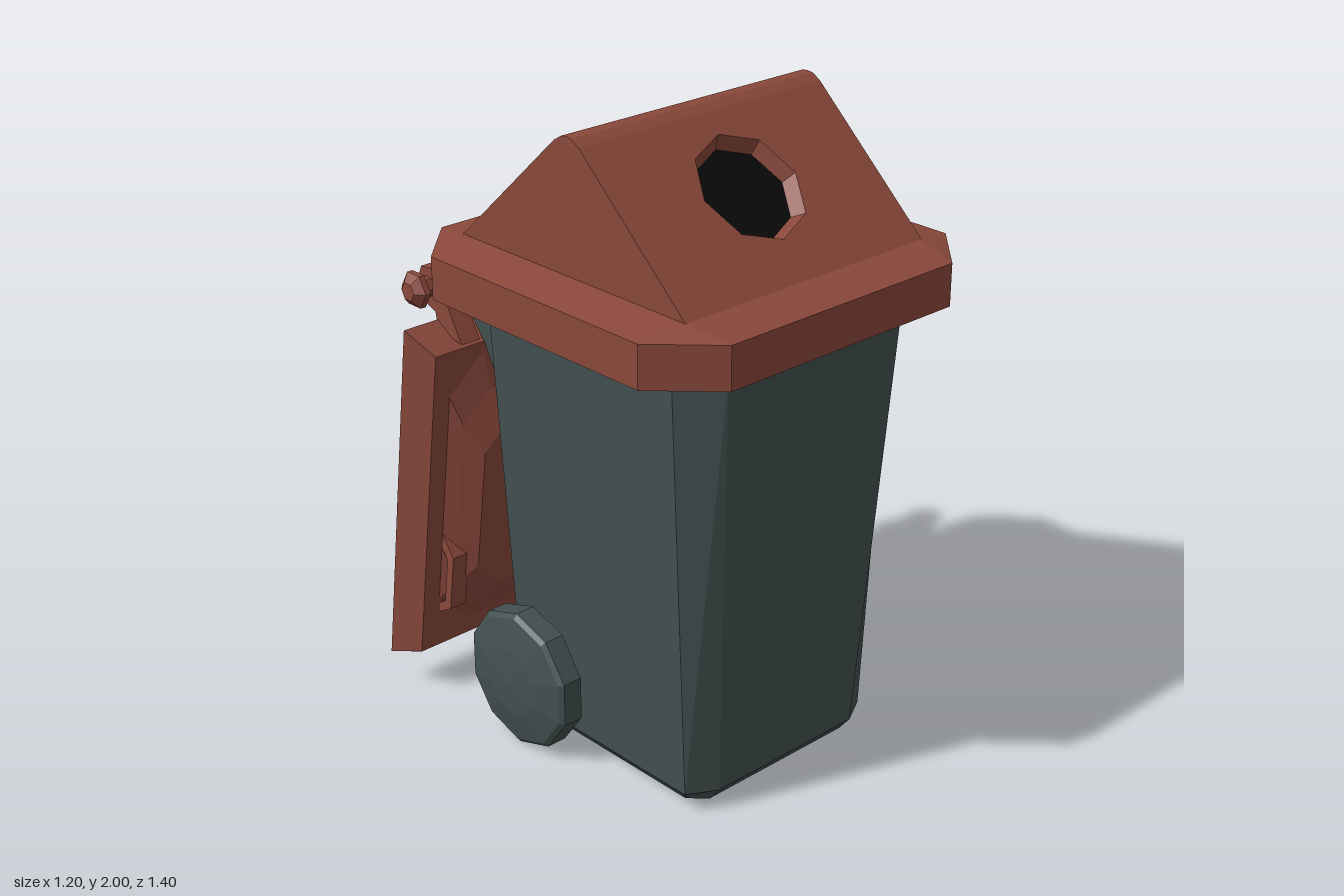
import * as THREE from 'three';

const red = new THREE.MeshStandardMaterial({ color: 0x8a483b, side: THREE.DoubleSide });
red.name = 'brick red';
const green = new THREE.MeshStandardMaterial({ color: 0x435050 });
green.name = 'dark grey green';
const black = new THREE.MeshStandardMaterial({ color: 0x0a0a0a });
black.name = 'black';

// Faceted mesh
function mesh(name, geometry, material) {
  const g = geometry.index ? geometry.toNonIndexed() : geometry;
  g.computeVertexNormals();
  const m = new THREE.Mesh(g, material);
  m.name = name;
  return m;
}

// Rectangle with cut corners at height y: half width, back z, front z, corner cuts
function oct(y, hx, z0, z1, cx, cz) {
  const ix = hx - cx, a = z1 - cz, b = z0 + cz;
  return [[hx, a], [hx, b], [ix, z0], [-ix, z0], [-hx, b], [-hx, a], [-ix, z1], [ix, z1]]
    .map(([x, z]) => [x, y, z]);
}

// Skin through a stack of rings, closed at both ends
function loft(rings) {
  const n = rings[0].length, index = [];
  const last = (rings.length - 1) * n;
  for (let i = 0; i < rings.length - 1; i++) {
    for (let j = 0; j < n; j++) {
      const a = i * n + j, b = i * n + (j + 1) % n;
      index.push(a, b, b + n, a, b + n, a + n);
    }
  }
  for (let j = 1; j < n - 1; j++) {
    index.push(0, j + 1, j, last, last + j, last + j + 1);
  }
  const g = new THREE.BufferGeometry();
  g.setAttribute('position', new THREE.Float32BufferAttribute(rings.flat(2), 3));
  g.setIndex(index);
  return g;
}

// Plate with a (z, y) outline, spanning x0 to x1
function sidePlate(points, x0, x1) {
  const shape = new THREE.Shape(points.map(([z, y]) => new THREE.Vector2(-z, y)));
  const g = new THREE.ExtrudeGeometry(shape, { depth: x1 - x0, bevelEnabled: false });
  return g.rotateY(Math.PI / 2).translate(x0, 0, 0);
}

// Solid turned around the x axis from [radius, x] pairs
function turned(points, sides) {
  const g = new THREE.LatheGeometry(points.map(([r, x]) => new THREE.Vector2(r, x)), sides);
  return g.rotateZ(-Math.PI / 2);
}

// One roof slope with its faceted opening
function roofSlope(name) {
  const slope = new THREE.Group();
  slope.name = name;
  const length = 0.556, centre = 0.308;
  const shape = new THREE.Shape([[-0.46, 0], [0.46, 0], [0.46, length], [-0.46, length]]
    .map(([x, y]) => new THREE.Vector2(x, y)));
  const hole = [];
  for (let i = 0; i < 8; i++) {
    const a = -i * Math.PI / 4;
    hole.push(new THREE.Vector2(0.175 * Math.cos(a), centre + 0.175 * Math.sin(a)));
  }
  shape.holes.push(new THREE.Path(hole));
  slope.add(mesh('roofPanel', new THREE.ShapeGeometry(shape), red));
  const rim = new THREE.CylinderGeometry(0.175, 0.15, 0.042, 8, 1, true).rotateX(Math.PI / 2);
  slope.add(mesh('openingRim', rim.translate(0, centre, -0.021), red));
  const disc = new THREE.CircleGeometry(0.152, 8).translate(0, centre, -0.041);
  slope.add(mesh('openingDark', disc, black));
  slope.position.set(0, 1.605, 0.46);
  slope.rotation.x = -Math.atan2(0.41, 0.375);
  const turn = new THREE.Group();
  turn.name = name + 'Mount';
  turn.add(slope);
  turn.position.z = 0.1;
  return turn;
}

export function createModel() {
  const model = new THREE.Group();
  model.name = 'wheeledBin';

  // Tapered body with cut corners
  model.add(mesh('body', loft([
    oct(0.02, 0.33, -0.27, 0.48, 0.05, 0.05),
    oct(0.07, 0.37, -0.31, 0.52, 0.09, 0.05),
    oct(1.43, 0.44, -0.40, 0.60, 0.10, 0.115),
  ]), green));

  // Lid rim
  model.add(mesh('lidRim', loft([
    oct(1.422, 0.45, -0.41, 0.61, 0.10, 0.1),
    oct(1.45, 0.60, -0.50, 0.70, 0.17, 0.17),
    oct(1.58, 0.60, -0.50, 0.70, 0.17, 0.17),
    oct(1.605, 0.46, -0.36, 0.56, 0.001, 0.001),
  ]), red));

  // Roof slopes, gables and ridge
  const front = roofSlope('frontSlope');
  const back = roofSlope('backSlope');
  back.rotation.y = Math.PI;
  model.add(front, back);
  const ridge = [[0.15, 1.98], [0.12, 1.998], [0.1, 2], [0.08, 1.998], [0.05, 1.98]];
  model.add(mesh('ridge', sidePlate(ridge, -0.46, 0.46), red));
  const gable = [[0.56, 1.605], ...ridge, [-0.36, 1.605]];
  for (const s of [-1, 1]) {
    const x = s * 0.458;
    model.add(mesh('gable', sidePlate(gable, x - 0.002, x + 0.002), red));
  }

  // Old lid hanging behind: dished outside, bulging inside
  const flap = new THREE.Group();
  flap.name = 'hangingLid';
  flap.position.set(0, 0.70, -0.62);
  flap.rotation.x = 0.137;
  flap.add(mesh('lidTray', loft([
    oct(0.09, 0.36, -0.38, 0.38, 0.09, 0.09),
    oct(0, 0.45, -0.49, 0.49, 0.12, 0.12),
    oct(0, 0.555, -0.585, 0.585, 0.001, 0.001),
    oct(0.11, 0.52, -0.535, 0.535, 0.001, 0.001),
    oct(0.11, 0.46, -0.50, 0.47, 0.12, 0.12),
    oct(0.145, 0.43, -0.39, 0.40, 0.1, 0.1),
    oct(0.195, 0.38, -0.29, 0.30, 0.09, 0.09),
  ]).rotateX(Math.PI / 2), red));
  // Grab handles on the inside of the hanging lid, outline in (z, y)
  const grip = [[0.10, -0.10], [0.168, -0.17], [0.168, -0.36], [0.09, -0.42],
    [0.09, -0.385], [0.14, -0.345], [0.14, -0.19], [0.10, -0.15]];
  for (const x of [-0.43, 0.43]) {
    flap.add(mesh('grabHandle', sidePlate(grip, x - 0.03, x + 0.03), red));
  }
  model.add(flap);

  // Hinge rod
  const hingeY = 1.375, hingeZ = -0.58;
  const rod = turned([[0, -0.45], [0.032, -0.45], [0.032, 0.45], [0, 0.45]], 6);
  model.add(mesh('hingeRod', rod.translate(0, hingeY, hingeZ), red));

  const bracket = [[-0.34, 1.42], [-0.54, 1.42], [-0.60, 1.425], [-0.645, 1.405], [-0.66, 1.37],
    [-0.64, 1.335], [-0.60, 1.32], [-0.52, 1.32], [-0.43, 1.21], [-0.37, 1.10], [-0.34, 1.10]];
  const arm = [[-0.43, 1.23], [-0.53, 1.405], [-0.56, 1.435], [-0.61, 1.43], [-0.635, 1.375],
    [-0.615, 1.325], [-0.55, 1.30], [-0.54, 1.25]];
  const nut = [[0, 0.43], [0.025, 0.43], [0.03, 0.45], [0.058, 0.463], [0.058, 0.482],
    [0.03, 0.505], [0, 0.505]];
  const wheel = [[0, 0.397], [0.20, 0.397], [0.225, 0.41], [0.225, 0.475], [0.21, 0.487],
    [0.11, 0.508], [0, 0.515]];

  // Hinge fittings and wheels on both sides
  for (const s of [1, -1]) {
    const x = s * 0.32, ax = s * 0.395;
    model.add(mesh('hingeBracket', sidePlate(bracket, x - 0.021, x + 0.021), green));
    model.add(mesh('hingeArm', sidePlate(arm, ax - 0.034, ax + 0.034), red));
    const parts = [
      mesh('hingeNut', turned(nut, 6).translate(0, hingeY, hingeZ), red),
      mesh('wheel', turned(wheel, 10).rotateX(Math.PI / 2).translate(0, 0.23, -0.154), green),
    ];
    for (const part of parts) {
      const side = new THREE.Group();
      side.name = part.name + (s > 0 ? 'Left' : 'Right');
      side.scale.x = s;
      side.add(part);
      model.add(side);
    }
  }

  // Axle
  const axle = turned([[0, -0.41], [0.045, -0.41], [0.045, 0.41], [0, 0.41]], 8);
  model.add(mesh('axle', axle.translate(0, 0.23, -0.154), green));

  return model;
}
